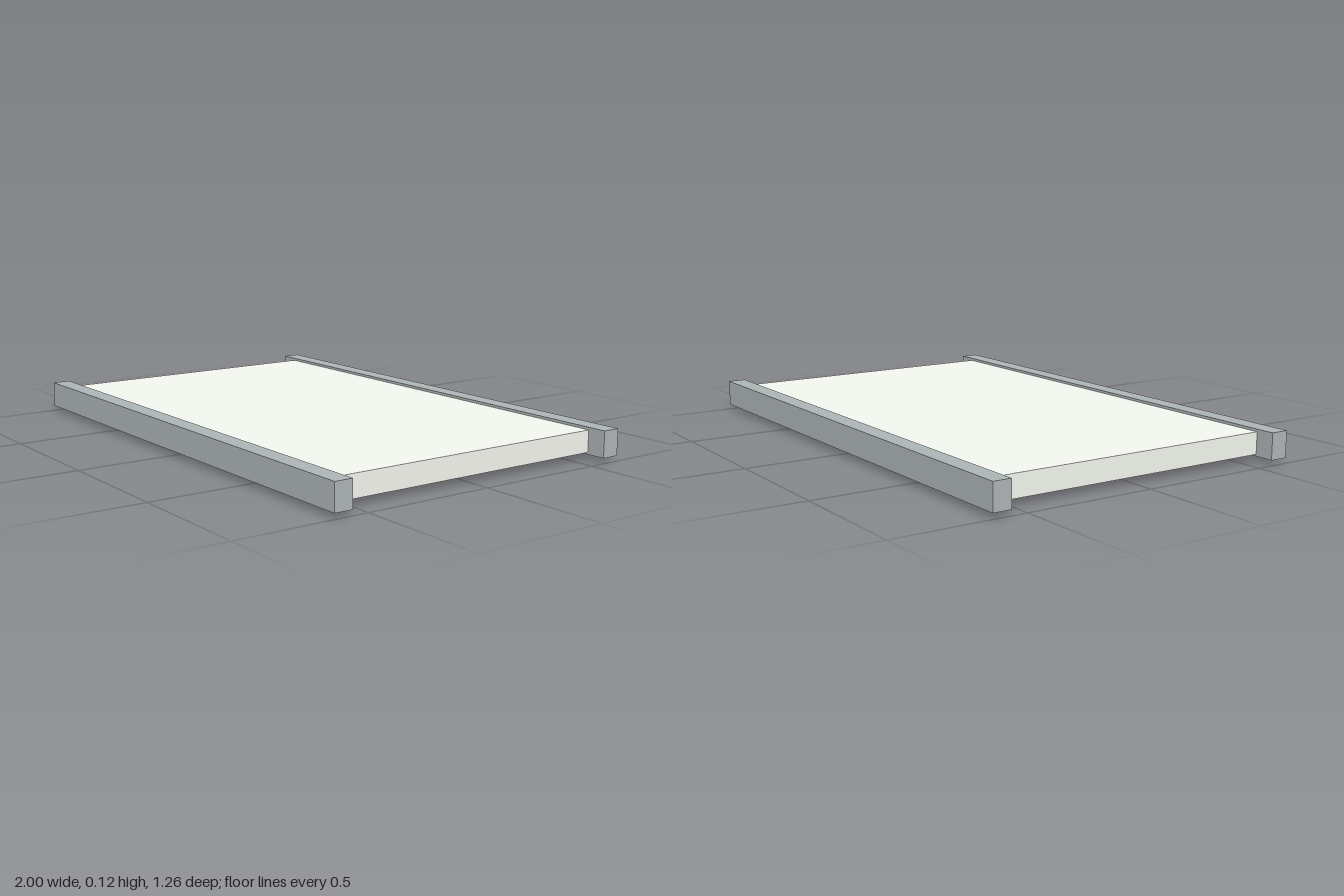
import * as THREE from 'three';

// Box given by its lower and upper corners
function block(name, color, [x0, y0, z0], [x1, y1, z1]) {
  const mesh = new THREE.Mesh(
    new THREE.BoxGeometry(x1 - x0, y1 - y0, z1 - z0),
    new THREE.MeshStandardMaterial({ color })
  );
  mesh.position.set((x0 + x1) / 2, (y0 + y1) / 2, (z0 + z1) / 2);
  mesh.name = name;
  return mesh;
}

export function createModel() {
  const model = new THREE.Group();
  model.name = 'railedPanel';

  // Flat panel between the rails
  model.add(block('panel', 0xf3f5ee, [-0.925, 0.027, -0.56], [0.925, 0.11, 0.56]));

  // Long rails along the front and back edges
  model.add(block('frontRail', 0xadb4b6, [-1, 0.02, 0.56], [1, 0.12, 0.63]));
  model.add(block('backRail', 0xadb4b6, [-1, 0.02, -0.63], [1, 0.12, -0.56]));

  // Coloured strips on the underside: name, colour, x range, z range
  const strips = [
    ['redStrip', 0xe96a5f, -0.43, -0.35, -0.28, 0.28],
    ['greenStrip', 0x58dc92, -0.01, 0.07, -0.28, 0.08],
    ['blueStrip', 0x62a8ee, 0.41, 0.49, -0.2, 0.47],
  ];
  for (const [name, color, x0, x1, z0, z1] of strips) {
    model.add(block(name, color, [x0, 0, z0], [x1, 0.027, z1]));
  }

  return model;
}
